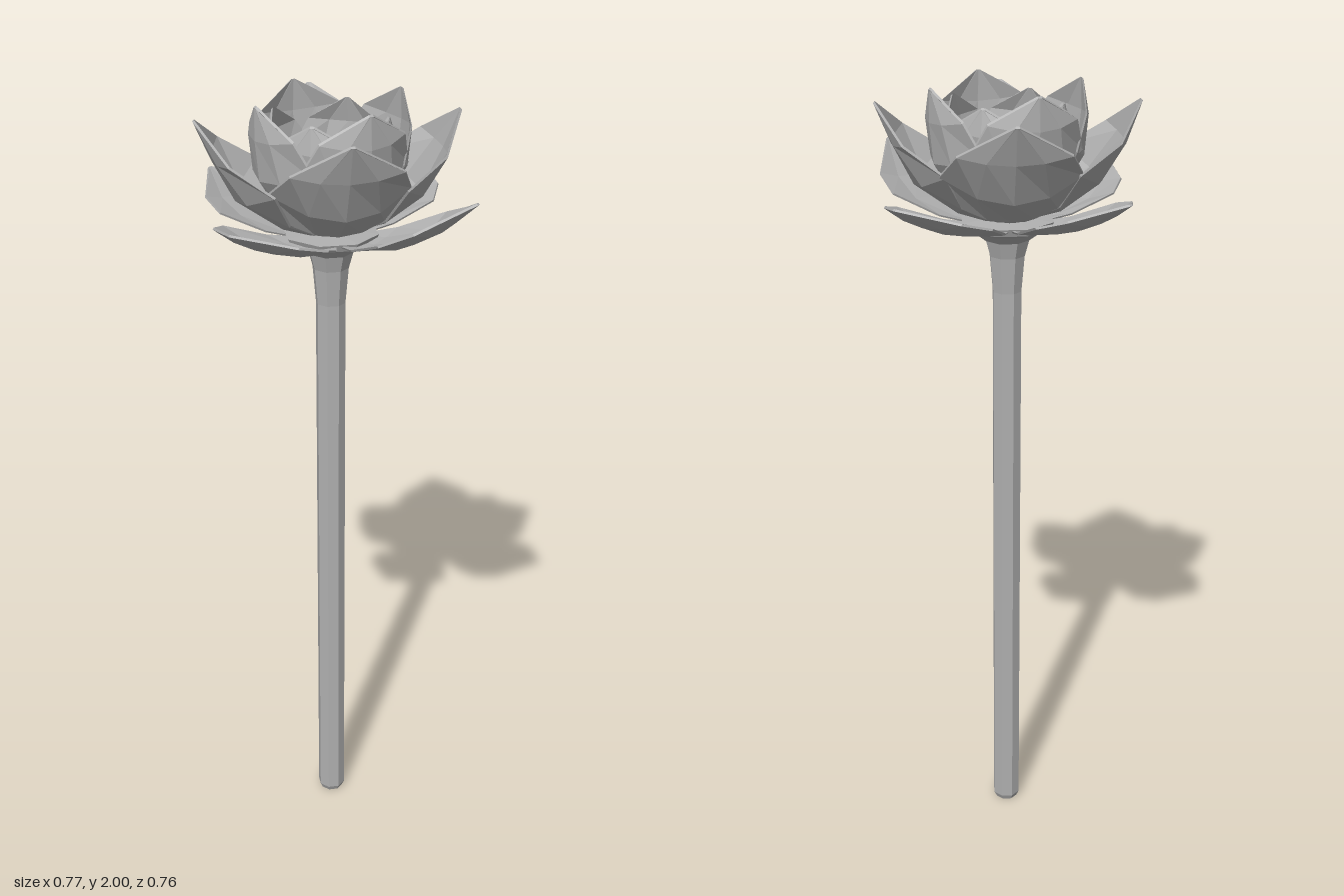
import * as THREE from 'three';

const grey = new THREE.MeshStandardMaterial({ color: 0xb0b0b0, flatShading: true });
grey.name = 'plain grey';

// Thin petal pointing along +z. Each row: [reach, height, half width, cup, edge lift]
function petalGeometry(rows, reach = 1, tipLift = 0) {
  const cols = 5, n = rows.length, t = 0.004;
  const top = [], bottom = [], index = [];
  rows.forEach(([r, y, w, cup = 0, lift = 0], i) => {
    for (let j = 0; j < cols; j++) {
      const u = (j / (cols - 1)) * 2 - 1;
      const x = u * w, z = r * reach - cup * u * u;
      const h = y + lift * u * u + tipLift * (i / (n - 1)) ** 3;
      top.push(x, h, z);
      bottom.push(x, h - t, z + t);
    }
  });
  const off = n * cols;
  for (let i = 0; i < n - 1; i++) {
    for (let j = 0; j < cols - 1; j++) {
      const a = i * cols + j, b = a + cols, c = a + 1, d = b + 1;
      index.push(a, b, c, b, d, c);
      index.push(a + off, c + off, b + off, b + off, c + off, d + off);
    }
  }
  // Rim joining the two skins
  const loop = [];
  for (let i = 0; i < n - 1; i++) loop.push(i * cols);
  for (let j = 0; j < cols - 1; j++) loop.push((n - 1) * cols + j);
  for (let i = n - 1; i > 0; i--) loop.push(i * cols + cols - 1);
  for (let j = cols - 1; j > 0; j--) loop.push(j);
  loop.forEach((p, k) => {
    const q = loop[(k + 1) % loop.length];
    index.push(q, p, p + off, q, p + off, q + off);
  });
  const g = new THREE.BufferGeometry();
  g.setAttribute('position', new THREE.Float32BufferAttribute([...top, ...bottom], 3));
  g.setIndex(index);
  const flat = g.toNonIndexed();
  flat.computeVertexNormals();
  return flat;
}

export function createModel() {
  const model = new THREE.Group();
  model.name = 'flower';
  const plant = new THREE.Group();
  plant.name = 'plant';
  plant.position.x = -0.016;
  model.add(plant);

  const add = (name, geometry, parent = plant) => {
    const mesh = new THREE.Mesh(geometry, grey);
    mesh.name = name;
    parent.add(mesh);
    return mesh;
  };

  // Ring of four petals; options give per-petal [reach, tipLift]
  const ring = (name, rows, startAngle, options = []) => {
    const group = new THREE.Group();
    group.name = name + 's';
    for (let k = 0; k < 4; k++) {
      const [reach, tipLift] = options[k] || [1, 0];
      add(name, petalGeometry(rows, reach, tipLift), group).rotation.y = startAngle + k * Math.PI / 2;
    }
    plant.add(group);
  };

  // Stem flaring into the collar under the flower
  const profile = [
    [0, 0], [0.03, 0], [0.037, 0.015], [0.037, 1.5], [0.045, 1.59], [0.056, 1.63],
    [0.085, 1.652], [0.11, 1.662], [0.118, 1.68], [0, 1.69],
  ].map(([x, y]) => new THREE.Vector2(x, y));
  add('stem', new THREE.LatheGeometry(profile, 8, Math.PI / 8));

  // Low spreading leaves: front, left, back, right
  ring('leaf', [
    [0.03, 1.665, 0.04],
    [0.12, 1.67, 0.1, 0, 0.015],
    [0.22, 1.69, 0.15, 0, 0.035],
    [0.29, 1.72, 0.12, 0, 0.025],
    [0.377, 1.775, 0.004],
  ], 0, [[1, 0], [1.05, 0.045], [1, 0], [0.965, 0]]);

  // Large open petals on the diagonals
  ring('outerPetal', [
    [0.03, 1.68, 0.03],
    [0.12, 1.705, 0.11, 0.01, 0.03],
    [0.22, 1.77, 0.165, 0.07, 0.05],
    [0.272, 1.87, 0.13, 0.025, 0.015],
    [0.31, 1.96, 0.005],
  ], Math.PI / 4, [[0.9, 0], [0.99, 0], [0.99, 0], [1.01, 0]]);

  // Tall cupped petals
  ring('middlePetal', [
    [0.02, 1.69, 0.03],
    [0.125, 1.74, 0.09, 0.03, 0.02],
    [0.18, 1.83, 0.142, 0.068, 0.03],
    [0.19, 1.925, 0.11, 0.04, 0.015],
    [0.188, 2.0, 0.005],
  ], Math.atan2(0.168, 0.085));

  // Inner cupped petals
  ring('innerPetal', [
    [0.02, 1.69, 0.03],
    [0.1, 1.75, 0.08, 0.03, 0.02],
    [0.142, 1.83, 0.115, 0.06, 0.03],
    [0.15, 1.905, 0.09, 0.035, 0.01],
    [0.138, 1.965, 0.005],
  ], Math.atan2(0.168, 0.085) + Math.PI / 4);

  // Bud in the centre
  const bud = add('bud', new THREE.SphereGeometry(0.072, 8, 6));
  bud.scale.y = 1.3;
  bud.position.y = 1.775;

  return model;
}
